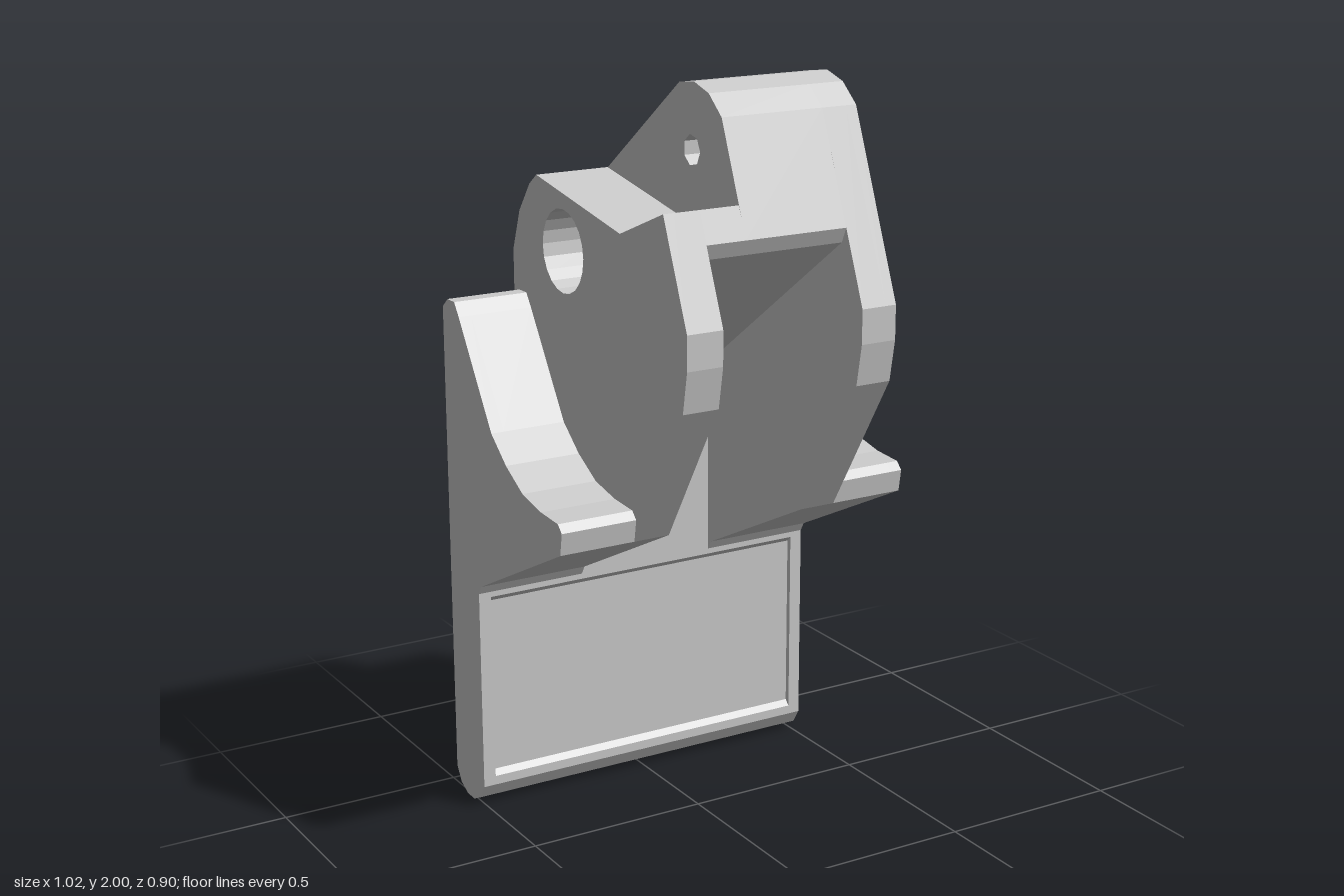
import * as THREE from 'three';

const material = new THREE.MeshStandardMaterial({ color: 0xcccccc, flatShading: true });
const BIG = { z: -0.17, y: 1.545, r: 0.11, n: 20 };      // pivot hole
const PIN = { z: 0.12, y: 1.83, r: 0.04, n: 7 };         // small pin hole
const SINK = { ...PIN, r: 0.083 };                       // countersunk mouth of the pin hole

// Side profiles are lists of [z, y], running from the top back, over the front, down and up the back.
const foot = [[-0.28, 0.06], [-0.305, 0.02], [-0.345, 0], [-0.385, 0], [-0.425, 0.02], [-0.45, 0.06]];
const underside = [[0.19, 0.87], [-0.265, 0.645], [-0.28, 0.62]];
const armTop = [[-0.45, 1.37], [-0.42, 1.395], [-0.38, 1.395], [-0.355, 1.36], [-0.18, 1.09], [-0.1, 1.025],
  [-0.01, 0.975], [0.09, 0.955], [0.18, 0.95], [0.2, 0.93]];
const backCurve = [[-0.45, 1.5], [-0.41, 1.61], [-0.35, 1.69]];
const highTop = [[0.06, 1.99], [0.13, 2], [0.2, 1.98], [0.26, 1.93]];
const lowTop = [[-0.31, 1.72], [0.13, 1.645], [0.34, 1.73]];
const nose = [[0.45, 1.46], [0.45, 1.37], [0.43, 1.26]];
const channel = [[0.373, 1.65], [0.355, 1.61], [-0.25, 1.18], [-0.28, 1.05]];
const frontRecess = [[-0.28, 0.605], [-0.295, 0.59], [-0.295, 0.1], [-0.28, 0.085]];
const backRecess = (top) => [[-0.45, 0.1], [-0.43, 0.115], [-0.43, top - 0.015], [-0.45, top]];

function holePath({ z, y, r, n }) {
  const pts = [];
  for (let i = 0; i < n; i++) {
    const t = (i / n) * Math.PI * 2;
    pts.push(new THREE.Vector2(-(z + r * Math.cos(t)), y - r * Math.sin(t)));
  }
  return new THREE.Path(pts);
}

// Extrudes a side profile across the width from x0 to x1
function slab(name, x0, x1, profile, holes = []) {
  const shape = new THREE.Shape(profile.map(([z, y]) => new THREE.Vector2(-z, y)));
  shape.holes = holes.map(holePath);
  const geo = new THREE.ExtrudeGeometry(shape, { depth: x1 - x0, bevelEnabled: false });
  geo.rotateY(Math.PI / 2).translate(x0, 0, 0);
  const mesh = new THREE.Mesh(geo, material);
  mesh.name = name;
  return mesh;
}

const body = (top, front, recessTop) =>
  [...backCurve, ...top, ...front, ...frontRecess, ...foot, ...backRecess(recessTop)];

export function createModel() {
  const group = new THREE.Group();
  group.name = 'clampBracket';
  const cheekFront = [...nose, ...underside];

  // Side arms and the plate edges, mirrored
  for (const s of [1, -1]) {
    const add = (name, a, b, profile) =>
      group.add(slab(name, Math.min(s * a, s * b), Math.max(s * a, s * b), profile));
    add('plateEdge', 0.475, 0.51, [...armTop, ...underside, ...foot]);
    add('sideArm', 0.3, 0.475, [...armTop, ...underside, ...frontRecess, ...foot, ...backRecess(1.33)]);
  }

  // Tall cheek with the countersunk pin hole
  group.add(slab('tallCheekOuter', 0.27, 0.3, body(highTop, cheekFront, 1.33), [BIG, SINK]));
  group.add(slab('tallCheekInner', 0.2, 0.27, body(highTop, cheekFront, 1.41), [BIG, SINK]));

  // Low cheek
  group.add(slab('lowCheekOuter', -0.3, -0.27, body(lowTop, cheekFront, 1.33), [BIG]));
  group.add(slab('lowCheekInner', -0.27, -0.2, body(lowTop, cheekFront, 1.41), [BIG]));

  // Middle of the body, hollowed by the front channel
  group.add(slab('tallMiddle', -0.09, 0.2, body(highTop, channel, 1.41), [BIG, PIN]));
  group.add(slab('lowMiddle', -0.2, -0.09, body(lowTop, channel, 1.41), [BIG]));

  // Conical wall of the countersink
  const cone = new THREE.CylinderGeometry(SINK.r, PIN.r, 0.1, PIN.n, 1, true);
  cone.rotateZ(-Math.PI / 2).translate(0.25, PIN.y, PIN.z);
  const coneMaterial = material.clone();
  coneMaterial.side = THREE.DoubleSide;
  const sink = new THREE.Mesh(cone, coneMaterial);
  sink.name = 'countersink';
  group.add(sink);

  return group;
}
